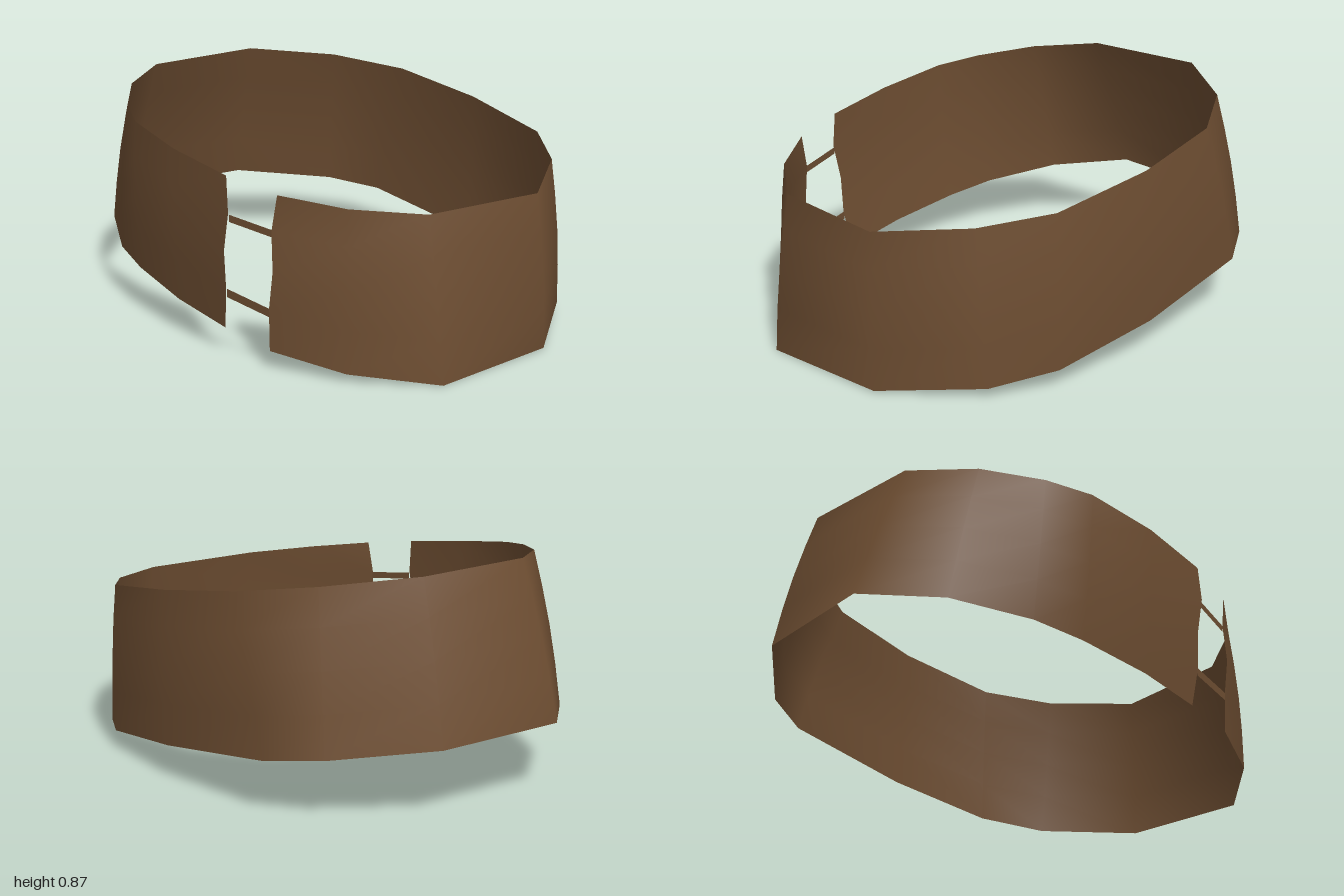
import * as THREE from 'three';

// Rim outlines as [x, z], from the left side of the opening around the back to its right side
const topRim = [
  [0.545, 0.66], [0.75, 0.51], [0.91, 0.28], [0.94, -0.22], [0.72, -0.52], [0.48, -0.685],
  [0.06, -0.73], [-0.34, -0.685], [-0.61, -0.52], [-0.82, -0.22], [-0.795, 0.285],
  [-0.63, 0.51], [-0.43, 0.655], [-0.26, 0.727], [0.03, 0.748], [0.325, 0.72],
];
const bottomRim = [
  [0.5, 0.665], [0.77, 0.53], [1, 0.28], [0.97, -0.25], [0.72, -0.58], [0.48, -0.705],
  [0.03, -0.745], [-0.52, -0.7], [-0.72, -0.58], [-0.97, -0.25], [-1, 0.28],
  [-0.78, 0.525], [-0.5, 0.66], [-0.3, 0.7], [0, 0.72], [0.275, 0.7],
];
// Heights of the rows, and how far the two cut edges stray in x at each row
const rows = [0, 0.27, 0.52, 0.77, 1];
const leftEdge = [0, -0.007, 0.007, -0.015, 0];
const rightEdge = [0, 0.015, 0.004, 0.023, 0];

// Both rims tilt down towards +x
const bottomY = (x) => 0.147 - 0.142 * x;
const topY = (x) => 0.749 - 0.153 * x;

function sheet(positions, indices) {
  const geometry = new THREE.BufferGeometry();
  geometry.setAttribute('position', new THREE.Float32BufferAttribute(positions, 3));
  geometry.setIndex(indices);
  geometry.computeVertexNormals();
  return geometry;
}

// Open band lofted between the rims, swelling slightly at mid height
function bandGeometry() {
  const positions = [], indices = [];
  const n = topRim.length, last = n - 1;
  rows.forEach((t, r) => {
    for (let i = 0; i < n; i++) {
      const [bx, bz] = bottomRim[i], [tx, tz] = topRim[i];
      let x = bx + (tx - bx) * t, z = bz + (tz - bz) * t;
      const y = bottomY(bx) + (topY(tx) - bottomY(bx)) * t;
      const swell = 1 + 0.012 * Math.sin(Math.PI * t) / Math.hypot(x, z);
      if (i === 0) x += leftEdge[r];
      else if (i === last) x += rightEdge[r];
      else x *= swell;
      z *= swell;
      positions.push(x, y, z);
      if (r > 0 && i > 0) {
        const d = r * n + i, c = d - 1, b = d - n, a = b - 1;
        indices.push(a, b, d, a, d, c);
      }
    }
  });
  return sheet(positions, indices);
}

// Flat lace spanning the opening
function laceGeometry(x0, y0, z0, x1, y1, z1, height) {
  return sheet(
    [x0, y0, z0, x1, y1, z1, x1, y1 + height, z1, x0, y0 + height, z0],
    [0, 1, 2, 0, 2, 3],
  );
}

export function createModel() {
  const leather = new THREE.MeshStandardMaterial({ color: 0x6e4e32, side: THREE.DoubleSide });
  leather.name = 'brown leather';
  const group = new THREE.Group();
  group.name = 'leatherBand';
  const add = (name, geometry) => {
    const mesh = new THREE.Mesh(geometry, leather);
    mesh.name = name;
    group.add(mesh);
  };

  add('band', bandGeometry());
  add('upperLace', laceGeometry(0.335, 0.53, 0.718, 0.522, 0.507, 0.665, 0.027));
  add('lowerLace', laceGeometry(0.303, 0.236, 0.71, 0.506, 0.207, 0.67, 0.032));
  return group;
}
